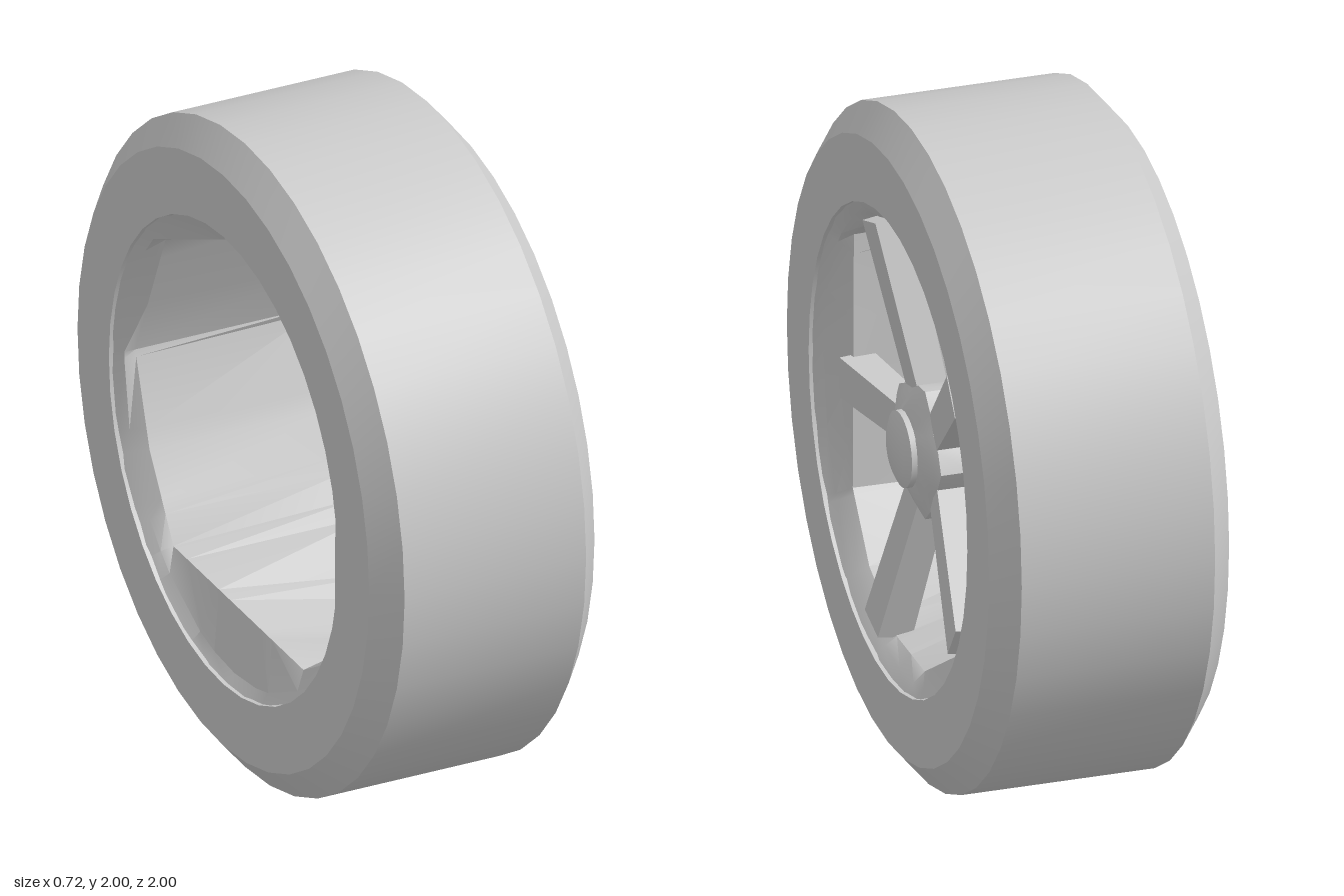
import * as THREE from 'three';
import { toCreasedNormals } from 'three/addons/utils/BufferGeometryUtils.js';

const material = new THREE.MeshStandardMaterial({ color: 0xcccccc, side: THREE.DoubleSide });

function addMesh(group, name, geometry, crease = 0.5) {
  const mesh = new THREE.Mesh(toCreasedNormals(geometry, crease), material);
  mesh.name = name;
  group.add(mesh);
  return mesh;
}

// Revolve [x, radius] points about the axle (x axis)
function revolve(profile, sides) {
  const points = profile.map(([x, r]) => new THREE.Vector2(r, x));
  return new THREE.LatheGeometry(points, sides).rotateZ(-Math.PI / 2);
}

// Distance from the axle to a convex [z, y] outline along a direction
function outlineRadius(outline, angle) {
  const c = Math.cos(angle), s = Math.sin(angle);
  for (let i = 0; i < outline.length; i++) {
    const [az, ay] = outline[i], [bz, by] = outline[(i + 1) % outline.length];
    const dz = bz - az, dy = by - ay;
    const den = c * dy - s * dz;
    if (Math.abs(den) < 1e-6) continue;
    const r = (az * dy - ay * dz) / den;
    const t = Math.abs(dz) > Math.abs(dy) ? (r * c - az) / dz : (r * s - ay) / dy;
    if (r > 0 && t >= -1e-6 && t <= 1 + 1e-6) return r;
  }
  return 0.65;
}

// Skin a tube through rings of { x, radius(angle) }
function skin(rings, angles) {
  const positions = [], index = [], n = angles.length;
  for (const { x, radius } of rings)
    for (const a of angles) positions.push(x, radius(a) * Math.sin(a), radius(a) * Math.cos(a));
  for (let j = 0; j < rings.length - 1; j++)
    for (let i = 0; i < n; i++) {
      const a = j * n + i, b = j * n + (i + 1) % n;
      index.push(a, b, a + n, b, b + n, a + n);
    }
  const geometry = new THREE.BufferGeometry();
  geometry.setAttribute('position', new THREE.Float32BufferAttribute(positions, 3));
  geometry.setIndex(index);
  return geometry;
}

export function createModel() {
  const model = new THREE.Group();
  model.name = 'wheel';
  const wheel = new THREE.Group();
  wheel.name = 'wheelAssembly';
  wheel.position.y = 1;
  model.add(wheel);

  // Tyre with bevelled shoulders
  addMesh(wheel, 'tyre', revolve([
    [-0.36, 0.718], [-0.36, 0.915], [-0.29, 1], [0.29, 1], [0.36, 0.915], [0.36, 0.718], [-0.36, 0.718],
  ], 40));

  // Faceted rim barrel: round lips running into an uneven polygon
  const front = [[0.52, 0.44], [0.53, -0.36], [0.38, -0.54], [0.13, -0.65], [-0.12, -0.65],
    [-0.5, -0.42], [-0.7, 0], [-0.5, 0.45], [-0.07, 0.67], [0.3, 0.6]];
  const back = [[0.57, 0.42], [0.56, -0.38], [0.4, -0.52], [-0.45, -0.5], [-0.6, -0.26],
    [-0.69, 0.02], [-0.5, 0.46], [-0.07, 0.66], [0.43, 0.51]];
  const corners = [...front, ...back].map(([z, y]) => Math.atan2(y, z));
  for (let i = 0; i < 20; i++) corners.push((i / 20) * Math.PI * 2 - Math.PI);
  corners.sort((a, b) => a - b);
  const angles = corners.filter((a, i) => i === 0 || a - corners[i - 1] > 0.03);
  const round = (x, r) => ({ x, radius: () => r });
  const shaped = (x, outline) => ({ x, radius: a => outlineRadius(outline, a) });
  addMesh(wheel, 'rimBarrel', skin([
    round(-0.35, 0.722), round(-0.325, 0.69), shaped(-0.29, back),
    shaped(0.29, front), round(0.325, 0.69), round(0.35, 0.722),
  ], angles), 0.45);

  // Five spokes leaning outwards from the hub to the front lip
  for (let i = 0; i < 5; i++) {
    const angle = THREE.MathUtils.degToRad(-1 + 72 * i);
    const end = outlineRadius(front, angle) + 0.02, start = 0.12;
    const geometry = new THREE.CylinderGeometry(0.088, 0.074, end - start, 4);
    geometry.rotateY(Math.PI / 4).scale(0.85, 1, 1);
    geometry.translate(0, (start + end) / 2, 0).rotateZ(-0.14);
    const spoke = addMesh(wheel, 'spoke', geometry);
    spoke.position.x = 0.2;
    spoke.rotation.x = Math.PI / 2 - angle;
  }

  // Scalloped hub, flared between the spokes
  const hubAngles = Array.from({ length: 20 }, (_, i) => (i / 20) * Math.PI * 2);
  const scallop = (x, r, d) => ({
    x, radius: a => r + d * Math.cos(5 * (a - THREE.MathUtils.degToRad(35))),
  });
  addMesh(wheel, 'hub', skin([
    round(0.14, 0), scallop(0.14, 0.16, 0.01), scallop(0.18, 0.19, 0.02),
    scallop(0.27, 0.19, 0.02), scallop(0.285, 0.165, 0.015), round(0.31, 0.11), round(0.31, 0),
  ], hubAngles), 0.5);

  // Domed centre cap
  addMesh(wheel, 'hubCap', revolve([
    [0.29, 0.115], [0.325, 0.113], [0.34, 0.08], [0.345, 0],
  ], 20), 0.6);

  return model;
}
